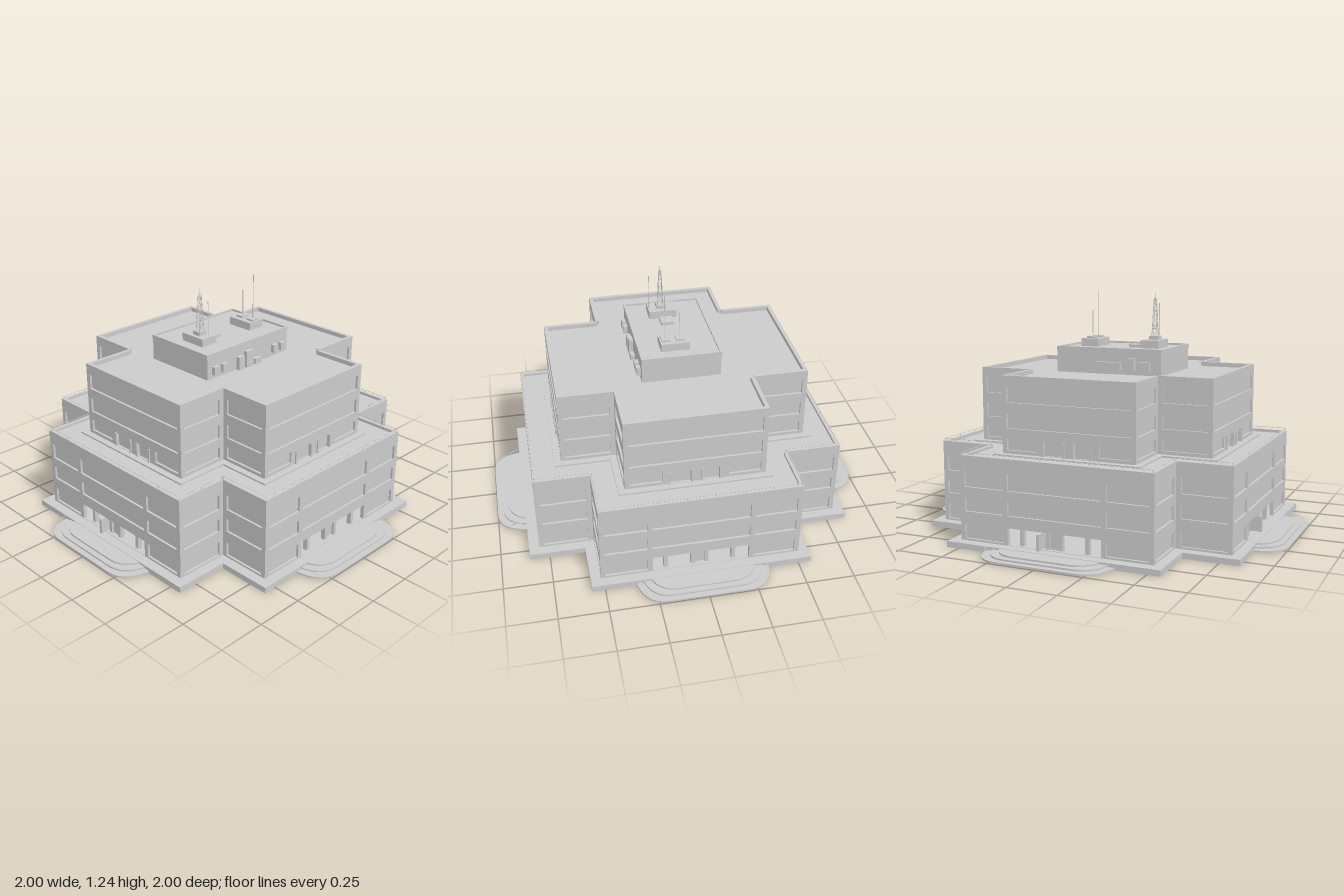
import * as THREE from 'three';

const mat = new THREE.MeshStandardMaterial({ color: 0xcccccc, flatShading: true, side: THREE.DoubleSide });

function add(parent, name, geo, x = 0, y = 0, z = 0) {
  const m = new THREE.Mesh(geo, mat);
  m.name = name;
  m.position.set(x, y, z);
  parent.add(m);
  return m;
}

// Box given by its extents
function block(parent, name, x0, x1, y0, y1, z0, z1) {
  return add(parent, name, new THREE.BoxGeometry(x1 - x0, y1 - y0, z1 - z0),
    (x0 + x1) / 2, (y0 + y1) / 2, (z0 + z1) / 2);
}

// Thin round bar between two points
function bar(parent, name, p, q, r = 0.0015) {
  const a = new THREE.Vector3(...p), b = new THREE.Vector3(...q);
  const m = add(parent, name, new THREE.CylinderGeometry(r, r, a.distanceTo(b), 5));
  m.position.copy(a).add(b).multiplyScalar(0.5);
  m.quaternion.setFromUnitVectors(new THREE.Vector3(0, 1, 0), b.sub(a).normalize());
  return m;
}

// Plus-shaped plan: arms are 2a wide and reach out to b
function crossPoints(a, b) {
  return [[a, b], [a, a], [b, a], [b, -a], [a, -a], [a, -b], [-a, -b], [-a, -a], [-b, -a], [-b, a], [-a, a], [-a, b]]
    .map(([x, y]) => new THREE.Vector2(x, y));
}

function flat(parent, name, shape, y0, y1) {
  const g = new THREE.ExtrudeGeometry(shape, { depth: y1 - y0, bevelEnabled: false, curveSegments: 10 });
  g.rotateX(-Math.PI / 2);
  return add(parent, name, g, 0, y0, 0);
}

function crossSlab(parent, name, a, b, y0, y1, wall = 0) {
  const s = new THREE.Shape(crossPoints(a, b));
  if (wall) s.holes.push(new THREE.Path(crossPoints(a - wall, b - wall)));
  return flat(parent, name, s, y0, y1);
}

// Wall facing +z at z = 0, with recessed windows and open doorways: [x0, x1, y0, y1, open]
function wall(w, y0, y1, openings) {
  const g = new THREE.Group(), t = 0.02;
  g.name = 'wall';
  const rect = (C, a, b, c, d) => new C([[a, c], [b, c], [b, d], [a, d]].map(p => new THREE.Vector2(...p)));
  const s = rect(THREE.Shape, -w / 2, w / 2, y0, y1);
  for (const [a, b, c, d, open] of openings) {
    s.holes.push(rect(THREE.Path, a, b, c, d));
    if (!open) add(g, 'windowPane', new THREE.PlaneGeometry(b - a, d - c), (a + b) / 2, (c + d) / 2, -0.012);
  }
  add(g, 'wallPanel', new THREE.ExtrudeGeometry(s, { depth: t, bevelEnabled: false }), 0, 0, -t);
  return g;
}

// Storey block: four main faces, each with two return faces
function storeys(root, name, a, b, y0, y1, mainOpenings, rows) {
  const g = new THREE.Group();
  g.name = name;
  root.add(g);
  const d = b - a;
  const bay = rows.map(([c, e]) => [-d / 2 + 0.025, d / 2 - 0.025, c, e]);
  for (let i = 0; i < 4; i++) {
    const side = new THREE.Group();
    side.name = 'facade';
    side.rotation.y = i * Math.PI / 2;
    g.add(side);
    const main = wall(2 * a, y0, y1, mainOpenings);
    main.position.z = b;
    side.add(main);
    for (const s of [-1, 1]) {
      const ret = wall(d, y0, y1, bay);
      ret.rotation.y = s * Math.PI / 2;
      ret.position.set(s * a, 0, (a + b) / 2);
      side.add(ret);
    }
  }
  return g;
}

export function createModel() {
  const root = new THREE.Group();
  root.name = 'officeBuilding';

  // Ground slab and rounded entrance steps
  crossSlab(root, 'groundSlab', 0.567, 0.853, 0, 0.03);
  for (let i = 0; i < 4; i++) {
    const steps = new THREE.Group();
    steps.name = 'entranceSteps';
    steps.rotation.y = i * Math.PI / 2;
    root.add(steps);
    for (let k = 0; k < 3; k++) {
      const e = k * 0.03, w = 0.34 - e, r = 0.14, z = 1 - e;
      const s = new THREE.Shape();
      s.moveTo(-w, -0.8);
      s.lineTo(-w, -z + r);
      s.quadraticCurveTo(-w + 0.02, -z, -w + r, -z);
      s.lineTo(w - r, -z);
      s.quadraticCurveTo(w - 0.02, -z, w, -z + r);
      s.lineTo(w, -0.8);
      flat(steps, 'step', s, 0.004 + k * 0.008, 0.012 + k * 0.008);
    }
    for (const s of [-1, 1]) bar(steps, 'handrail', [s * 0.335, 0.045, 0.85], [s * 0.3, 0.025, 0.955]);
  }

  // Lower storeys
  const rows = [[0.04, 0.115], [0.178, 0.25], [0.302, 0.385]];
  const lowerOpen = [[-0.25, 0.25, 0.032, 0.118, true]];
  rows.forEach(([c, d], i) => {
    lowerOpen.push([-0.49, -0.275, c, d], [0.275, 0.49, c, d]);
    if (i) lowerOpen.push([-0.25, 0.25, c, d]);
  });
  storeys(root, 'lowerStoreys', 0.515, 0.8, 0.03, 0.46, lowerOpen, rows);
  crossSlab(root, 'lobbyCeiling', 0.505, 0.79, 0.125, 0.14);
  crossSlab(root, 'terraceDeck', 0.505, 0.79, 0.425, 0.445);
  crossSlab(root, 'terraceCurb', 0.395, 0.68, 0.445, 0.453);

  // Ground floor core, entrance posts and door fins
  block(root, 'lobbyCore', -0.27, 0.27, 0.03, 0.125, -0.195, 0.195);
  for (let i = 0; i < 4; i++) {
    const entry = new THREE.Group();
    entry.name = 'entrance';
    entry.rotation.y = i * Math.PI / 2;
    root.add(entry);
    for (const x of [-0.18, -0.04, 0.03, 0.17]) block(entry, 'entrancePost', x - 0.01, x + 0.01, 0.03, 0.125, 0.76, 0.785);
    block(entry, 'doorPanel', -0.04, 0.03, 0.03, 0.115, 0.765, 0.772);
  }
  block(root, 'backDoorFin', 0.065, 0.08, 0.03, 0.112, -0.825, -0.76);
  block(root, 'sideDoorFin', -0.825, -0.76, 0.03, 0.112, -0.08, -0.065);

  // Terrace railing
  const pts = crossPoints(0.507, 0.792);
  pts.forEach((p, i) => {
    const q = pts[(i + 1) % pts.length], n = Math.round(p.distanceTo(q) / 0.14);
    bar(root, 'terraceRail', [p.x, 0.473, p.y], [q.x, 0.473, q.y]);
    for (let k = 0; k < n; k++) {
      const c = p.clone().lerp(q, k / n);
      bar(root, 'railPost', [c.x, 0.445, c.y], [c.x, 0.473, c.y]);
    }
  });

  // Upper storeys with terrace doors
  const upRows = [[0.47, 0.53], [0.58, 0.655], [0.71, 0.79]];
  const upOpen = upRows.slice(1).map(([c, d]) => [-0.335, 0.335, c, d]);
  upOpen.push([-0.13, -0.025, 0.455, 0.525], [0.035, 0.12, 0.455, 0.525]);
  upOpen.push([-0.335, -0.17, 0.47, 0.53], [0.17, 0.335, 0.47, 0.53]);
  const upper = storeys(root, 'upperStoreys', 0.36, 0.645, 0.44, 0.845, upOpen, upRows);
  for (const f of [...upper.children])
    for (const x of [-0.135, -0.02, 0.03, 0.125]) block(f, 'doorJamb', x - 0.005, x + 0.005, 0.453, 0.527, 0.63, 0.652);
  crossSlab(root, 'mainRoof', 0.35, 0.635, 0.8, 0.822);

  // Rooftop penthouse with parapet
  block(root, 'penthouse', -0.317, 0.272, 0.82, 0.948, -0.208, 0.203);
  for (const z of [[-0.21, -0.2], [0.195, 0.205]]) block(root, 'penthouseParapet', -0.32, 0.275, 0.935, 0.958, ...z);
  for (const x of [[-0.32, -0.31], [0.265, 0.275]]) block(root, 'penthouseParapet', ...x, 0.935, 0.958, -0.21, 0.205);

  // Equipment cabinets and doors on the penthouse walls
  for (const [x0, x1, y0, y1] of [[-0.285, -0.245, 0.845, 0.888], [-0.225, -0.19, 0.845, 0.888], [-0.11, -0.07, 0.822, 0.892],
    [-0.055, -0.005, 0.822, 0.91], [0.01, 0.055, 0.822, 0.852], [0.15, 0.185, 0.845, 0.888], [0.205, 0.24, 0.845, 0.888]])
    block(root, 'frontCabinet', x0, x1, y0, y1, 0.2, 0.225);
  for (const [x0, x1, y1] of [[-0.26, -0.2, 0.89], [-0.175, -0.13, 0.908], [-0.095, 0.038, 0.885]])
    block(root, 'backCabinet', x0, x1, 0.845, y1, -0.23, -0.2);

  // Rooftop plinths and hatch
  block(root, 'towerPlinth', -0.243, -0.143, 0.945, 0.99, -0.058, 0.09);
  block(root, 'towerFooting', -0.22, -0.17, 0.99, 1.01, -0.005, 0.045);
  block(root, 'mastPlinth', 0.103, 0.203, 0.945, 0.99, -0.058, 0.09);
  for (const z of [-0.015, 0.06]) block(root, 'mastFooting', 0.13, 0.18, 0.99, 1.0, z - 0.022, z + 0.022);
  block(root, 'roofHatch', -0.13, -0.065, 0.945, 0.964, -0.03, 0.04);

  // Lattice tower
  const tower = new THREE.Group();
  tower.name = 'latticeTower';
  tower.position.set(-0.194, 0, 0.022);
  root.add(tower);
  const corner = (i, y) => {
    const h = 0.014 - (y - 1.01) * 0.045, a = Math.PI / 4 + i * Math.PI / 2;
    return [h * Math.SQRT2 * Math.cos(a), y, h * Math.SQRT2 * Math.sin(a)];
  };
  for (let i = 0; i < 4; i++) {
    bar(tower, 'towerLeg', corner(i, 1.0), corner(i, 1.21), 0.002);
    for (let k = 0; k < 5; k++) {
      const y = 1.01 + k * 0.038;
      bar(tower, 'towerBrace', corner(i, y), corner(i + 1, y + 0.038), 0.001);
      bar(tower, 'towerRing', corner(i, y + 0.038), corner(i + 1, y + 0.038), 0.001);
    }
  }
  bar(tower, 'towerTip', [0, 1.19, 0], [0, 1.235, 0]);

  // Whip masts
  bar(root, 'tallMast', [0.155, 0.99, 0.063], [0.155, 1.24, 0.063], 0.002);
  bar(root, 'shortMast', [0.155, 0.99, -0.012], [0.155, 1.14, -0.012], 0.002);
  bar(root, 'sideMast', [-0.194, 0.98, 0.083], [-0.194, 1.18, 0.083], 0.002);
  return root;
}
